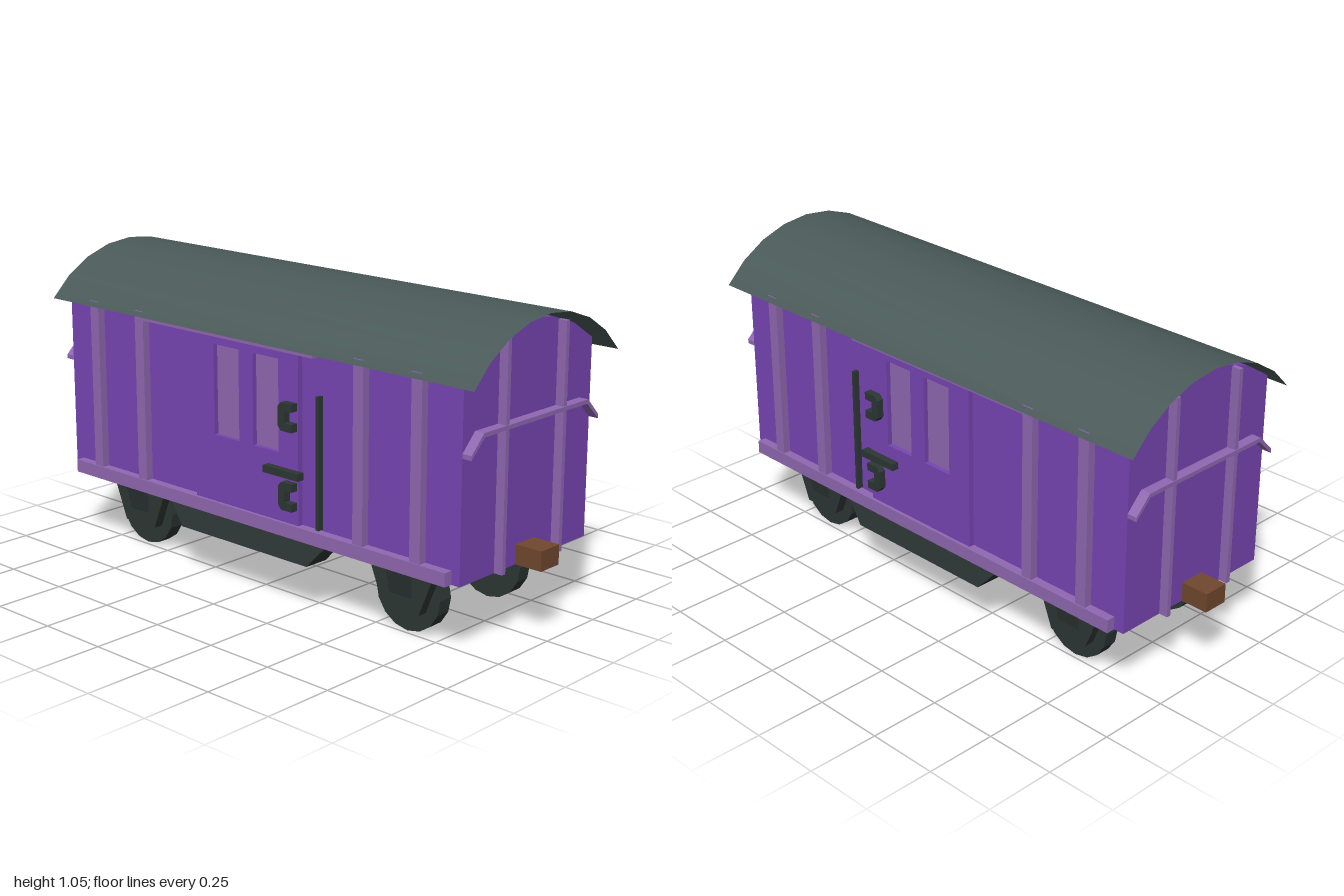
import * as THREE from 'three';

const mat = (name, color, extra = {}) => {
  const m = new THREE.MeshStandardMaterial({ color, ...extra });
  m.name = name;
  return m;
};

export function createModel() {
  const purple = mat('purple paint', 0x7846b4);
  const lilac = mat('lilac trim', 0x9068b2);
  const slate = mat('slate roof', 0x4a5a58, { side: THREE.DoubleSide });
  const iron = mat('dark iron', 0x2d3735);
  const brown = mat('brown coupling', 0x70472e);

  const root = new THREE.Group();
  root.name = 'railwayVan';

  const add = (name, geo, material, parent = root) => {
    const mesh = new THREE.Mesh(geo, material);
    mesh.name = name;
    parent.add(mesh);
    return mesh;
  };
  // Box given by its limits on each axis
  const block = (name, material, [x0, x1], [y0, y1], [z0, z1], parent) => {
    const geo = new THREE.BoxGeometry(Math.abs(x1 - x0), y1 - y0, Math.abs(z1 - z0));
    geo.translate((x0 + x1) / 2, (y0 + y1) / 2, (z0 + z1) / 2);
    return add(name, geo, material, parent);
  };
  const polygon = (pts) => new THREE.Shape(pts.map(([x, y]) => new THREE.Vector2(x, y)));
  const rect = (z0, z1, y0, y1) => [[-z0, y0], [-z1, y0], [-z1, y1], [-z0, y1]];
  // Side plate: outline in (-z, y), spanning x0..x1 on side s
  const plate = (name, material, shape, x0, x1, s, parent) => {
    const geo = new THREE.ExtrudeGeometry(shape, { depth: x1 - x0, bevelEnabled: false });
    geo.rotateY(Math.PI / 2).translate(s > 0 ? x0 : -x1, 0, 0);
    return add(name, geo, material, parent);
  };
  // Box whose lower vertices are moved by a rule
  const tapered = (name, material, size, pos, rule, parent) => {
    let geo = new THREE.BoxGeometry(...size).toNonIndexed();
    const p = geo.attributes.position;
    for (let i = 0; i < p.count; i++) {
      if (p.getY(i) < 0) {
        const [x, z] = rule(p.getX(i), p.getZ(i));
        p.setX(i, x);
        p.setZ(i, z);
      }
    }
    geo.computeVertexNormals();
    geo.translate(...pos);
    return add(name, geo, material, parent);
  };

  // Body shell with a curved top
  const half = [[0.324, 0.245], [0.324, 0.915], [0.22, 0.98], [0.11, 1.017]];
  const outline = [...half, [0, 1.03], ...half.map(([x, y]) => [-x, y]).reverse()];
  const shell = new THREE.ExtrudeGeometry(polygon(outline), { depth: 1.8, bevelEnabled: false });
  add('body', shell.translate(0, 0, -0.9), purple);
  const floor = new THREE.PlaneGeometry(0.69, 1.8).rotateX(Math.PI / 2);
  add('floor', floor.translate(0, 0.243, 0), iron);

  // Thin arched roof
  const R = 0.472, a = 0.8905;
  const roof = new THREE.CylinderGeometry(R, R, 1.92, 8, 1, true, -a, 2 * a);
  add('roof', roof.rotateX(-Math.PI / 2).translate(0, 1.055 - R, 0.012), slate);

  // Both ends: ribs, cranked rail and coupling
  for (const e of [1, -1]) {
    const end = new THREE.Group();
    end.name = e > 0 ? 'frontEnd' : 'backEnd';
    root.add(end);
    for (const x of [-0.147, 0.147]) {
      block('endRib', lilac, [x - 0.008, x + 0.008], [0.245, 1.003], [e * 0.895, e * 0.932], end);
    }
    const rail = polygon([
      [-0.324, 0.653], [-0.262, 0.713], [0.262, 0.713], [0.324, 0.653],
      [0.324, 0.668], [0.266, 0.727], [-0.266, 0.727], [-0.324, 0.668],
    ]);
    const railGeo = new THREE.ExtrudeGeometry(rail, { depth: 0.035, bevelEnabled: false });
    add('endRail', railGeo.translate(0, 0, e > 0 ? 0.9 : -0.935), lilac, end);
    block('coupling', brown, [-0.046, 0.046], [0.245, 0.312], [e * 0.89, e * 1.0], end);
  }

  // Both sides, mirrored in x
  for (const s of [1, -1]) {
    const side = new THREE.Group();
    side.name = s > 0 ? 'leftSide' : 'rightSide';
    root.add(side);
    const xs = (x0, x1) => [s * x0, s * x1];

    // Ribs and rails
    for (const z of [0.743, 0.507, -0.507, -0.742]) {
      block('sideRib', lilac, xs(0.32, 0.352), [0.28, 0.897], [z - 0.021, z + 0.021], side);
    }
    block('bottomRail', lilac, xs(0.32, 0.356), [0.245, 0.291], [-0.862, 0.868], side);
    block('doorRail', lilac, xs(0.32, 0.354), [0.866, 0.88], [-0.52, 0.315], side);

    // Sliding door with two recessed windows
    const door = polygon(rect(0.243, -0.238, 0.291, 0.866));
    const windows = [[0.155, 0.038], [-0.027, -0.145]];
    for (const [z0, z1] of windows) {
      door.holes.push(new THREE.Path(rect(z0, z1, 0.525, 0.838).map(([x, y]) => new THREE.Vector2(x, y))));
    }
    plate('door', purple, door, 0.322, 0.344, s, side);
    for (const [z0, z1] of windows) {
      block('windowPane', lilac, xs(0.322, 0.327), [0.525, 0.838], [z0, z1], side);
    }

    // Door fittings
    block('grabBar', iron, xs(0.322, 0.344), [0.295, 0.742], [0.32, 0.333], side);
    for (const y of [0.61, 0.342]) {
      const hook = polygon([
        [-0.238, y], [-0.19, y], [-0.176, y + 0.016], [-0.176, y + 0.08], [-0.19, y + 0.095],
        [-0.238, y + 0.095], [-0.238, y + 0.068], [-0.205, y + 0.068], [-0.205, y + 0.028], [-0.238, y + 0.028],
      ]);
      plate('doorHandle', iron, hook, 0.342, 0.37, s, side);
    }
    block('doorLever', iron, xs(0.342, 0.37), [0.453, 0.478], [0.107, 0.265], side);

    // Underfloor box
    tapered('underfloorBox', iron, [0.08, 0.077, 0.73], [s * 0.308, 0.2065, 0],
      (x, z) => [x + (x * s > 0 ? s * 0.014 : 0), z * 0.81], side);

    // Wheels with their axle guards
    for (const z of [0.62, -0.62]) {
      const wheel = new THREE.CylinderGeometry(0.133, 0.133, 0.054, 16).toNonIndexed();
      wheel.computeVertexNormals();
      add('wheel', wheel.rotateZ(Math.PI / 2).translate(s * 0.207, 0.133, z), iron, side);
      const guard = polygon([
        [-z - 0.075, 0.08], [-z + 0.075, 0.08], [-z + 0.142, 0.245], [-z - 0.142, 0.245],
      ]);
      plate('axleGuard', iron, guard, 0.232, 0.27, s, side);
      tapered('guardBracket', iron, [0.04, 0.115, 0.09], [s * 0.28, 0.1875, z],
        (x, zz) => [x * s > 0 ? s * -0.009 : x, zz], side);
    }
  }
  return root;
}
